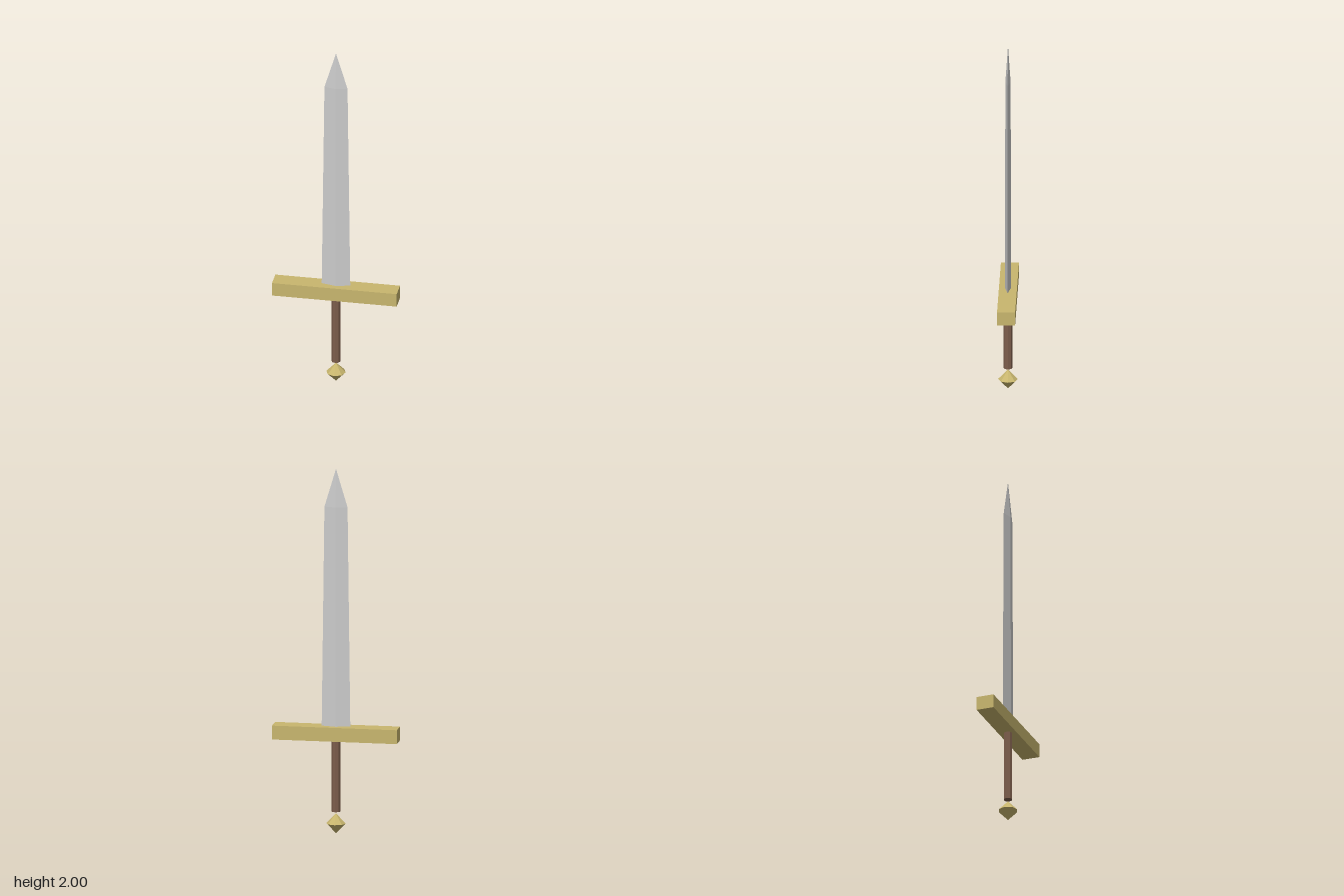
import * as THREE from 'three';

const material = (color) => new THREE.MeshStandardMaterial({ color, flatShading: true });

// Faceted solid turned from a [radius, height] profile, listed bottom to top
function turned(profile, sides) {
  return new THREE.LatheGeometry(profile.map(([r, y]) => new THREE.Vector2(r, y)), sides);
}

export function createModel() {
  const model = new THREE.Group();
  model.name = 'sword';
  const steel = material(0xcccccc);
  const brass = material(0xc8b66e);
  const leather = material(0x7d5e4c);

  const add = (name, geometry, mat, y = 0) => {
    const mesh = new THREE.Mesh(geometry, mat);
    mesh.name = name;
    mesh.position.y = y;
    model.add(mesh);
  };

  // Tapering blade with a flattened diamond section and a pointed tip
  const blade = turned([[0, 0.585], [0.078, 0.585], [0.063, 1.79], [0, 2]], 4);
  blade.scale(1, 1, 0.222);
  add('blade', blade, steel);

  // Straight crossguard
  add('crossguard', new THREE.BoxGeometry(0.68, 0.076, 0.097), brass, 0.55);

  // Slim faceted grip
  add('grip', new THREE.CylinderGeometry(0.024, 0.024, 0.395, 8), leather, 0.3175);

  // Double-cone pommel, just below the grip
  add('pommel', turned([[0, 0], [0.053, 0.055], [0, 0.11]], 8), brass);

  return model;
}
